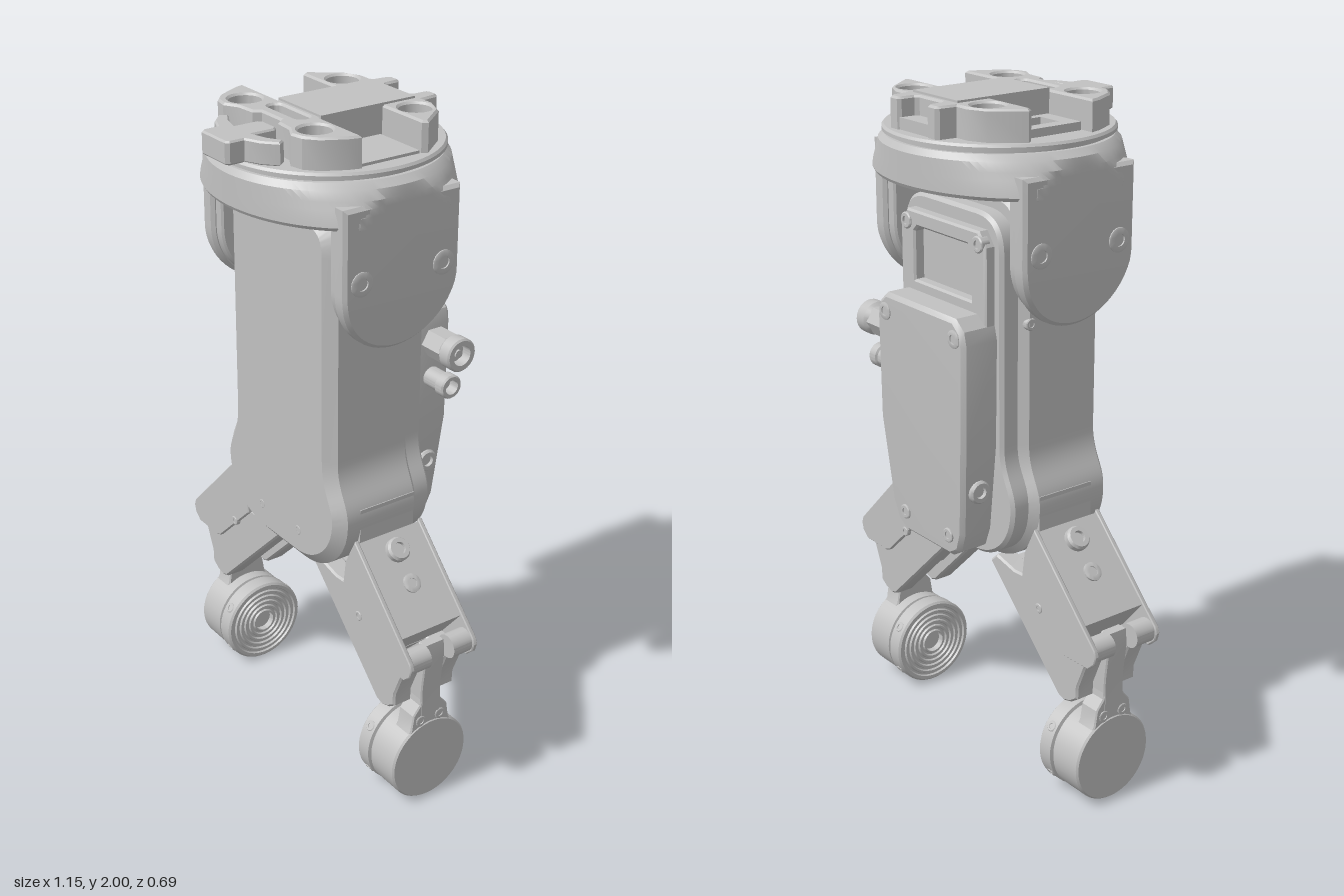
import * as THREE from 'three';
import { toCreasedNormals } from 'three/addons/utils/BufferGeometryUtils.js';

const grey = new THREE.MeshStandardMaterial({ color: 0xc1c1c1 });
grey.name = 'machined grey';

function add(parent, name, geometry) {
  const mesh = new THREE.Mesh(toCreasedNormals(geometry, 0.5), grey);
  mesh.name = name;
  parent.add(mesh);
  return mesh;
}
const poly = pts => new THREE.Shape(pts.map(p => new THREE.Vector2(...p)));
// Full outline from its +x half, listed from the centre line outwards and round
const mirrored = half => poly([...half, ...half.slice().reverse().map(([x, y]) => [-x, y])]);

// Slab from a shape, from 0 to depth along z, chamfered inside its outline
function slab(shape, depth, bevel = 0, inset = bevel) {
  return new THREE.ExtrudeGeometry(shape, {
    depth: depth - 2 * bevel, curveSegments: 16, bevelEnabled: bevel > 0,
    bevelThickness: bevel, bevelSize: inset, bevelOffset: -inset, bevelSegments: 1,
  }).translate(0, 0, bevel);
}
const slabZ = (shape, z0, z1, bevel, inset) => slab(shape, z1 - z0, bevel, inset).translate(0, 0, z0);
const slabY = (shape, y0, y1, bevel) => slab(shape, y1 - y0, bevel).rotateX(Math.PI / 2).translate(0, y1, 0);
const slabX = (shape, x0, x1, bevel) => slab(shape, x1 - x0, bevel).rotateY(Math.PI / 2).translate(x0, 0, 0);
const box = (x0, x1, y0, y1, z0, z1) => new THREE.BoxGeometry(x1 - x0, y1 - y0, z1 - z0)
  .translate((x0 + x1) / 2, (y0 + y1) / 2, (z0 + z1) / 2);
const lathe = (pts, segments = 48) => new THREE.LatheGeometry(pts.map(p => new THREE.Vector2(...p)), segments);

// Move every vertex by a rule that edits it in place
function reshape(geo, rule) {
  const p = geo.attributes.position, v = new THREE.Vector3();
  for (let i = 0; i < p.count; i++) {
    rule(v.fromBufferAttribute(p, i));
    p.setXYZ(i, v.x, v.y, v.z);
  }
  geo.computeVertexNormals();
  return geo;
}

// Turned part standing at pos and pointing along dir
function turned(parent, name, pts, pos, dir, segments) {
  const mesh = add(parent, name, lathe(pts, segments));
  mesh.position.set(...pos);
  mesh.quaternion.setFromUnitVectors(new THREE.Vector3(0, 1, 0), new THREE.Vector3(...dir).normalize());
}
function screw(parent, pos, dir, r, h = 0.01) {
  const socket = h - Math.min(h * 0.8, 0.012);
  turned(parent, 'screw', [[r, -0.02], [r, h * 0.6], [r * 0.85, h], [r * 0.5, h], [r * 0.5, socket], [0, socket]], pos, dir, 20);
}

// Long housing outline with a bulged foot, inset by d
function bodyOutline(d, top = 1.765) {
  const w = 0.25 - d, b = 0.3 - d, y0 = 0.667 + d, y1 = top - d, r = 0.11;
  const s = new THREE.Shape();
  s.moveTo(-0.09, y0);
  s.lineTo(0.09, y0);
  s.bezierCurveTo(0.2, y0, b, 0.76 + d / 2, b, 0.87);
  s.bezierCurveTo(b, 0.94, w, 0.96, w, 1.05);
  s.lineTo(w, y1 - r);
  s.quadraticCurveTo(w, y1, w - r, y1);
  s.lineTo(r - w, y1);
  s.quadraticCurveTo(-w, y1, -w, y1 - r);
  s.lineTo(-w, 1.05);
  s.bezierCurveTo(-w, 0.96, -b, 0.94, -b, 0.87);
  s.bezierCurveTo(-b, 0.76 + d / 2, -0.2, y0, -0.09, y0);
  return s;
}

function buildBody(g) {
  add(g, 'housing', slabZ(bodyOutline(0), -0.14, 0.155, 0.03, 0.035));
  add(g, 'backLayer', slabZ(bodyOutline(0.025, 1.73), -0.188, -0.1, 0.01));
  for (const x of [-0.095, 0.095]) screw(g, [x, 0.77, 0.15], [0, 0, 1], 0.015, 0.006);

  // Upper back frame around a recessed window
  const frame = mirrored([[0, 1.1], [0.195, 1.1], [0.195, 1.62], [0.165, 1.66], [0, 1.66]]);
  frame.holes.push(new THREE.Path([[-0.13, 1.46], [-0.13, 1.6], [-0.115, 1.615], [0.115, 1.615], [0.13, 1.6], [0.13, 1.46]]
    .map(p => new THREE.Vector2(...p))));
  add(g, 'backFrame', slabZ(frame, -0.22, -0.18, 0.006));

  // Back cover, thinning towards its lower end
  const cover = slabZ(mirrored([[0, 0.705], [0.11, 0.705], [0.15, 0.73], [0.172, 0.79], [0.2, 1.05], [0.205, 1.36],
    [0.195, 1.4], [0.16, 1.43], [0, 1.43]]), -0.303, -0.17, 0.012);
  add(g, 'backCover', reshape(cover, v => { if (v.z < -0.25) v.z += Math.max(0, 1.05 - v.y) * 0.06; }));
  for (const s of [-1, 1]) {
    screw(g, [s * 0.162, 1.375, -0.302], [0, 0, -1], 0.026, 0.005);
    screw(g, [s * 0.105, 0.77, -0.286], [0, 0, -1], 0.022, 0.005);
    screw(g, [s * 0.165, 1.625, -0.218], [0, 0, -1], 0.024, 0.008);
    screw(g, [s * 0.185, 0.92, -0.24], [s, 0, 0], 0.034, 0.016);
    screw(g, [s * 0.245, 1.4, -0.105], [s, 0, 0], 0.018, 0.008);
  }

  // Cable connectors on the left side
  turned(g, 'connectorNut', [[0.046, 0], [0.046, 0.088], [0.042, 0.093], [0, 0.093]], [0.19, 1.31, -0.245], [1, 0, 0], 6);
  turned(g, 'largeConnector', [[0.036, 0.08], [0.05, 0.098], [0.05, 0.133], [0.045, 0.138], [0.03, 0.138],
    [0.03, 0.105], [0.012, 0.105], [0.012, 0.125], [0, 0.125]], [0.19, 1.31, -0.245], [1, 0, 0], 24);
  turned(g, 'smallConnector', [[0.03, 0], [0.03, 0.068], [0.036, 0.072], [0.036, 0.1], [0.032, 0.105], [0.022, 0.105],
    [0.022, 0.07], [0, 0.07]], [0.19, 1.2, -0.24], [1, 0, 0], 24);
}

function buildHead(g) {
  const head = new THREE.Group();
  head.name = 'head';
  head.position.z = -0.018;
  g.add(head);

  // Flange, round on top and widening sideways into flats over the ears
  const flange = lathe([[0, 1.768], [0.324, 1.768], [0.33, 1.778], [0.33, 1.8], [0.33, 1.82], [0.33, 1.84], [0.33, 1.865],
    [0.318, 1.882], [0, 1.882]], 96);
  add(head, 'flange', reshape(flange, v => {
    v.x *= 1 + Math.min(0.2, (1.885 - v.y) * 2);
    v.x = Math.max(-0.347, Math.min(0.347, v.x));
  }));
  add(head, 'turntable', lathe([[0, 1.87], [0.308, 1.87], [0.308, 1.887], [0.324, 1.89], [0.324, 1.9], [0.318, 1.907], [0, 1.907]], 72));

  // Raised coupling with four screw lobes, drawn in x and z
  const lobes = mirrored([[0, -0.25], [0.05, -0.25], [0.06, -0.26], [0.062, -0.3], [0.07, -0.31], [0.1, -0.31], [0.11, -0.3],
    [0.115, -0.25], [0.16, -0.25], [0.215, -0.225], [0.28, -0.14], [0.27, -0.125], [0.1, -0.125], [0.1, 0.075], [0.28, 0.075],
    [0.27, 0.11], [0.235, 0.175], [0.2, 0.205], [0.16, 0.213], [0.12, 0.19], [0.06, 0.185], [0.045, 0.165], [0, 0.165]]);
  for (const x of [-0.165, 0.165]) for (const z of [-0.185, 0.14]) {
    lobes.holes.push(new THREE.Path().absarc(x, z, 0.046, 0, Math.PI * 2, true));
    screw(g, [x, 1.92, z], [0, 1, 0], 0.036, 0.035);
  }
  const slot = new THREE.Path();
  slot.absarc(0.06, 0.11, 0.021, Math.PI / 2, -Math.PI / 2, true);
  slot.absarc(-0.06, 0.11, 0.021, -Math.PI / 2, Math.PI / 2, true);
  lobes.holes.push(slot);
  add(g, 'coupling', slabY(lobes, 1.9, 1.994, 0.006));
  add(g, 'couplingBlock', box(-0.1, 0.1, 1.9, 2, -0.235, 0.075));
  add(g, 'rearNotchFloor', box(-0.08, 0.08, 1.9, 1.94, -0.305, -0.24));

  // Low side trays between the lobes
  const tray = poly([[-0.24, -0.105], [-0.1, -0.105], [-0.1, 0.07], [-0.24, 0.07]]);
  tray.holes.push(new THREE.Path([[-0.2, -0.07], [-0.2, 0.025], [-0.125, 0.025], [-0.125, -0.07]].map(q => new THREE.Vector2(...q))));
  add(g, 'sideTray', slabY(tray, 1.9, 1.93));
  add(g, 'sideTray', box(0.1, 0.27, 1.9, 1.915, -0.12, 0.07));

  // Front latch: curved arms and a thumb tab
  add(g, 'latch', slabY(mirrored([[0, 0.346], [0.055, 0.346], [0.065, 0.336], [0.065, 0.292], [0.11, 0.272], [0.148, 0.237],
    [0.13, 0.214], [0.09, 0.238], [0.042, 0.252], [0.042, 0.182], [0.03, 0.17], [0, 0.17]]), 1.905, 1.97, 0.005));
}

// Shoulder bracket on the +x side
function buildEar(side) {
  for (const [name, x0, x1, r, bevel] of [['innerEar', 0.262, 0.305, 0.178, 0.006], ['outerEar', 0.293, 0.346, 0.191, 0.01]]) {
    const s = new THREE.Shape();
    s.moveTo(r, 1.83);
    s.lineTo(-r, 1.83);
    s.lineTo(-r, 1.59);
    s.absarc(0, 1.59, r, Math.PI, Math.PI * 2, false);
    s.lineTo(r, 1.83);
    // Lean the lower rim inwards
    add(side, name, reshape(slabX(s, x0, x1, bevel), v => { if (v.x > 0.31) v.x -= Math.max(0, 1.56 - v.y) * 0.13; }));
  }
  turned(side, 'pivotHub', [[0.12, 0], [0.12, 0.04], [0, 0.04]], [0.235, 1.59, 0], [1, 0, 0]);
  for (const z of [-0.135, 0.135]) screw(side, [0.345, 1.62, z], [1, 0, 0], 0.035, 0.006);
}

// Jointed finger on the +x side, symmetric about its own z = 0
function buildFinger(side) {
  const finger = new THREE.Group();
  finger.name = 'finger';
  side.add(finger);
  add(finger, 'fingerMount', box(0.2, 0.298, 0.8, 0.905, -0.095, 0.095));
  add(finger, 'upperLink', slabZ(poly([[0.305, 0.805], [0.515, 0.595], [0.42, 0.48], [0.25, 0.645], [0.265, 0.73]]), -0.108, 0.108));
  const plate = poly([[0.305, 0.815], [0.57, 0.545], [0.577, 0.525], [0.57, 0.5], [0.545, 0.477], [0.44, 0.475],
    [0.42, 0.483], [0.25, 0.645], [0.262, 0.73], [0.285, 0.775]]);
  const prong = poly([[0.25, 0.65], [0.2, 0.648], [0.12, 0.667], [0.09, 0.64], [0.405, 0.33], [0.43, 0.322], [0.46, 0.33],
    [0.488, 0.35], [0.49, 0.39], [0.53, 0.49], [0.43, 0.5]]);
  for (const s of [-1, 1]) {
    const span = (a, b) => [Math.min(s * a, s * b), Math.max(s * a, s * b)];
    add(finger, 'sidePlate', slabZ(plate, ...span(0.106, 0.121), 0.003));
    add(finger, 'lowerProng', slabZ(prong, ...span(0.045, 0.11), 0.006));
    const barrel = add(finger, 'hingeBarrel', new THREE.CylinderGeometry(0.036, 0.036, 0.066, 24).rotateX(Math.PI / 2));
    barrel.position.set(0.535, 0.525, s * 0.073);
    screw(finger, [0.33, 0.58, s * 0.12], [0, 0, s], 0.015, 0.004);
    screw(finger, [0.521, 0.285, s * 0.035], [1, 0, 0], 0.018, 0.004);
  }
  add(finger, 'lowerBrace', slabZ(poly([[0.25, 0.65], [0.13, 0.65], [0.36, 0.42], [0.43, 0.49]]), -0.05, 0.05));
  screw(finger, [0.348, 0.768, 0], [0.72, 0.7, 0], 0.036, 0.02);
  screw(finger, [0.42, 0.694, 0], [0.72, 0.7, 0], 0.028, 0.005);

  // Link and flared neck carrying the round tip
  add(finger, 'tipLink', slabZ(poly([[0.5, 0.55], [0.53, 0.55], [0.535, 0.5], [0.523, 0.4], [0.523, 0.3], [0.455, 0.3],
    [0.46, 0.4], [0.48, 0.47]]), -0.036, 0.036, 0.004));
  add(finger, 'tipNeck', slabX(mirrored([[0, 0.2], [0.11, 0.2], [0.07, 0.26], [0.062, 0.31], [0.038, 0.34], [0.03, 0.42], [0, 0.42]]),
    0.455, 0.522, 0.004));
  const rings = [];
  for (let r = 0.122; r > 0.045; r -= 0.018) rings.push([r, 0.17], [r - 0.003, 0.164], [r - 0.009, 0.164], [r - 0.012, 0.17]);
  turned(finger, 'fingertip', [[0, 0], [0.13, 0], [0.135, 0.006], [0.135, 0.105], [0.128, 0.108], [0.128, 0.115], [0.138, 0.118],
    [0.138, 0.164], [0.132, 0.17], ...rings, [0.034, 0.17], [0.034, 0.15], [0, 0.15]], [0.525, 0.14, 0], [-1, 0, 0], 56);
  for (const a of [0.6, 2.54, 3.74, 5.68]) {
    screw(finger, [0.385, 0.14 + 0.134 * Math.sin(a), 0.134 * Math.cos(a)], [0, Math.sin(a), Math.cos(a)], 0.016, 0.006);
  }
}

export function createModel() {
  const model = new THREE.Group();
  model.name = 'gripper';
  buildBody(model);
  buildHead(model);
  // Each side is the other turned half round
  for (const [name, turn] of [['leftSide', 0], ['rightSide', Math.PI]]) {
    const side = new THREE.Group();
    side.name = name;
    side.position.z = -0.015;
    side.rotation.y = turn;
    buildEar(side);
    buildFinger(side);
    model.add(side);
  }
  return model;
}
